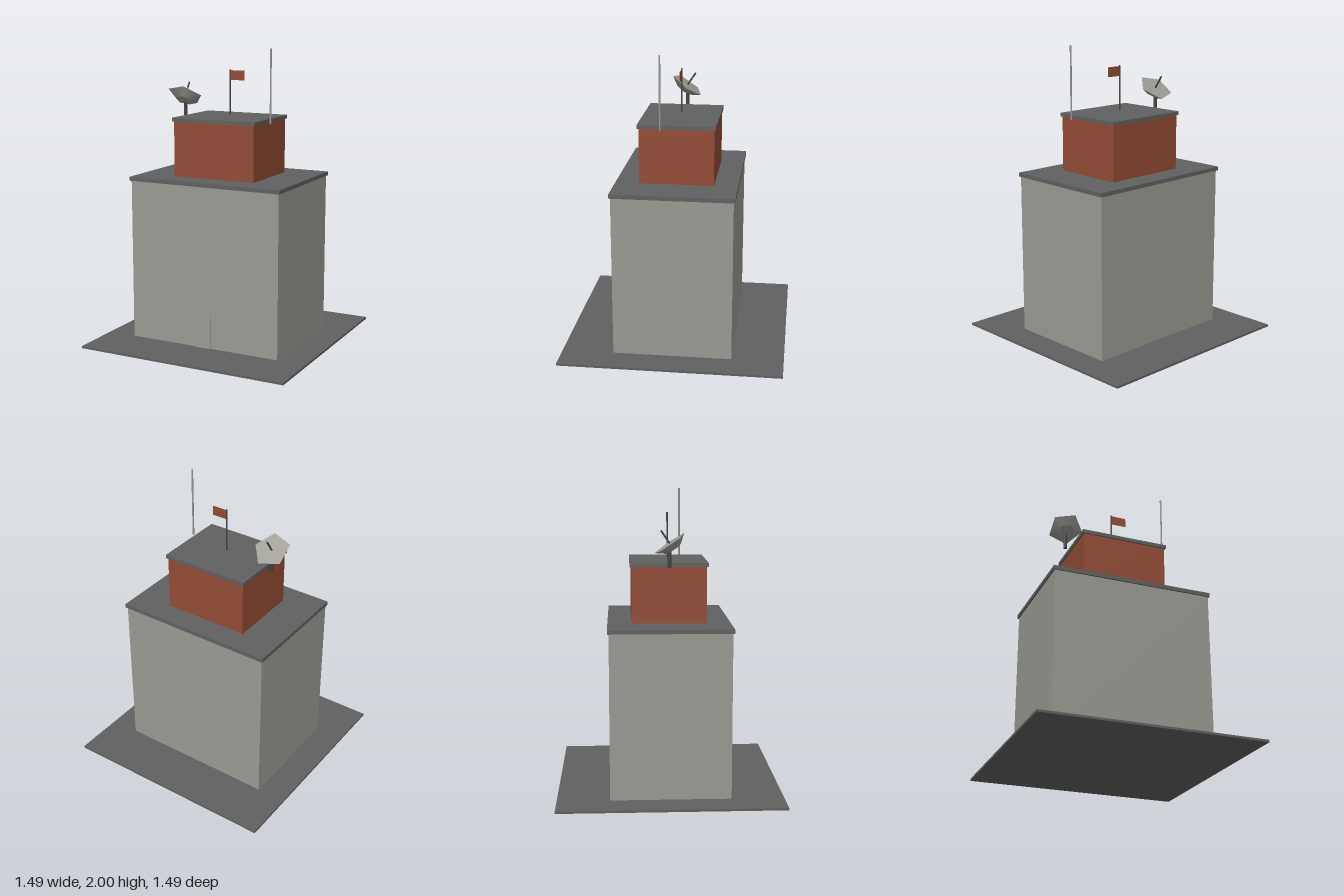
import * as THREE from 'three';

const mat = (name, color, side = THREE.FrontSide) => {
  const m = new THREE.MeshStandardMaterial({ color, side });
  m.name = name;
  return m;
};

export function createModel() {
  const model = new THREE.Group();
  model.name = 'building';
  const concrete = mat('concrete grey', 0x9a9a93);
  const slate = mat('dark slab grey', 0x606060);
  const brick = mat('brick red', 0x924b34);
  const metal = mat('dark metal', 0x444444);

  const add = (name, geometry, material, x, y, z, parent = model) => {
    const mesh = new THREE.Mesh(geometry, material);
    mesh.name = name;
    mesh.position.set(x, y, z);
    parent.add(mesh);
    return mesh;
  };
  // Box given by its bottom and top heights
  const block = (name, material, w, d, y0, y1, x = 0, z = 0) =>
    add(name, new THREE.BoxGeometry(w, y1 - y0, d), material, x, (y0 + y1) / 2, z);
  // Upright rod given by its bottom and top heights
  const rod = (name, material, r, y0, y1, x, z, sides = 8) =>
    add(name, new THREE.CylinderGeometry(r, r, y1 - y0, sides), material, x, (y0 + y1) / 2, z);

  // Ground slab, main block and rooftop storey
  block('groundSlab', slate, 1.486, 1.486, 0, 0.015);
  block('mainBlock', concrete, 1.09, 0.793, 0.015, 1.11);
  block('mainRoof', slate, 1.11, 0.813, 1.11, 1.137);
  block('upperStorey', brick, 0.592, 0.495, 1.137, 1.51);
  block('upperRoof', slate, 0.614, 0.515, 1.51, 1.535);
  block('door', concrete, 0.113, 0.012, 0.015, 0.234, 0, 0.4);

  // Flag and mast
  rod('flagPole', metal, 0.005, 1.55, 1.85, 0, 0);
  block('flag', brick, 0.107, 0.004, 1.78, 1.845, 0.054, 0);
  rod('antennaMast', concrete, 0.006, 1.51, 2, 0.347, 0.1);

  // Dish on its post: five-sided bowl tilted towards the back
  rod('dishPost', metal, 0.013, 1.51, 1.63, -0.347, 0);
  const dish = new THREE.Group();
  dish.name = 'dish';
  dish.position.set(-0.347, 1.667, 0);
  dish.rotation.x = -0.595;
  model.add(dish);
  const bowl = new THREE.CylinderGeometry(0.123, 0.06, 0.045, 5);
  bowl.rotateY(Math.PI / 2);
  add('dishBowl', bowl, concrete, 0, -0.0225, 0, dish);
  add('dishFeed', new THREE.CylinderGeometry(0.006, 0.006, 0.1, 8), metal, 0, 0.05, 0, dish);

  return model;
}
